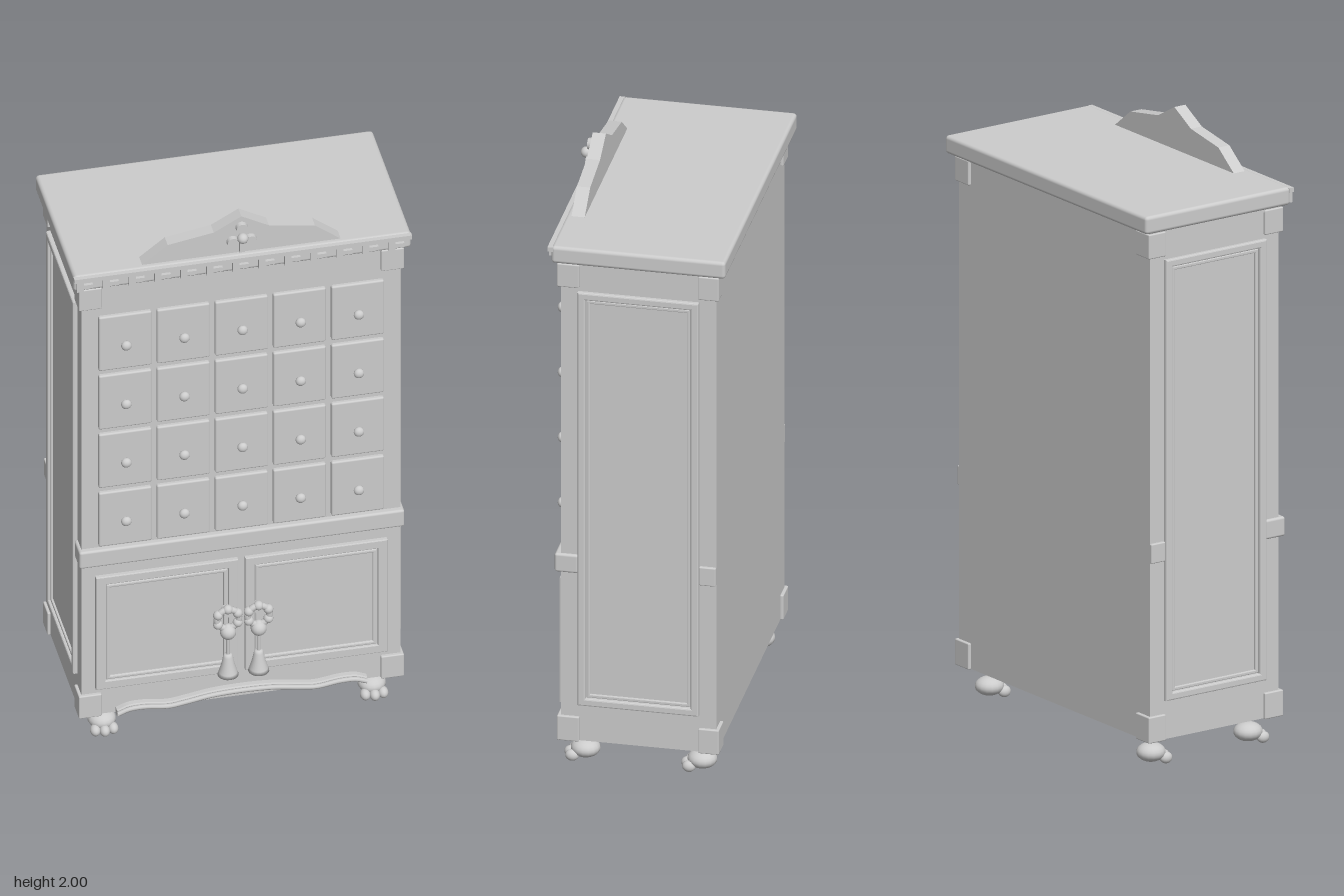
import * as THREE from 'three';
import { RoundedBoxGeometry } from 'three/addons/geometries/RoundedBoxGeometry.js';

export function createModel() {
  const root = new THREE.Group();
  root.name = 'apothecaryCabinet';
  const grey = new THREE.MeshStandardMaterial({ color: 0xcccccc });
  grey.name = 'plain grey';

  const add = (name, geo, x = 0, y = 0, z = 0, parent = root) => {
    const m = new THREE.Mesh(geo, grey);
    m.name = name;
    m.position.set(x, y, z);
    parent.add(m);
    return m;
  };
  // Box given by its limits on each axis, with rounded edges when r > 0
  const block = (name, x0, x1, y0, y1, z0, z1, r = 0, parent = root) => {
    const s = [x1 - x0, y1 - y0, z1 - z0];
    const geo = r ? new RoundedBoxGeometry(...s, 2, r) : new THREE.BoxGeometry(...s);
    return add(name, geo, (x0 + x1) / 2, (y0 + y1) / 2, (z0 + z1) / 2, parent);
  };
  const ball = (name, r, x, y, z, parent = root) =>
    add(name, new THREE.SphereGeometry(r, 16, 12), x, y, z, parent);
  // Rectangular frame centred on the origin, facing +z
  const frameGeo = (w, h, border, depth, bevel) => {
    const rect = (P, a, b) => {
      const p = new P();
      p.moveTo(-a, -b); p.lineTo(a, -b); p.lineTo(a, b); p.lineTo(-a, b); p.closePath();
      return p;
    };
    const s = rect(THREE.Shape, w / 2 - bevel, h / 2 - bevel);
    s.holes.push(rect(THREE.Path, w / 2 - border + bevel, h / 2 - border + bevel));
    return new THREE.ExtrudeGeometry(s, {
      depth: depth - bevel, bevelEnabled: bevel > 0, bevelSize: bevel, bevelThickness: bevel, bevelSegments: 2,
    });
  };

  // Carcass, cornice and waist rail
  block('carcass', -0.52, 0.52, 0.1, 1.795, -0.27, 0.235);
  block('cornice', -0.55, 0.55, 1.8, 1.86, -0.305, 0.262, 0.012);
  block('corniceNeck', -0.525, 0.525, 1.785, 1.805, -0.272, 0.24);
  block('waistRail', -0.53, 0.53, 0.695, 0.76, 0.178, 0.255, 0.008);

  for (const s of [-1, 1]) {
    const span = (name, a, b, ...rest) => block(name, Math.min(s * a, s * b), Math.max(s * a, s * b), ...rest);
    // Corner blocks and rear ends of the waist rail
    for (const [z0, z1] of [[0.175, 0.247], [-0.28, -0.213]]) {
      span('lowerCornerBlock', 0.455, 0.53, 0.098, 0.185, z0, z1, 0.004);
      span('upperCornerBlock', 0.455, 0.53, 1.71, 1.792, z0, z1, 0.004);
    }
    span('rearWaistBlock', 0.49, 0.53, 0.695, 0.76, -0.27, -0.215, 0.004);
    // Framed side panel
    const side = new THREE.Group();
    side.name = s > 0 ? 'leftSidePanel' : 'rightSidePanel';
    side.position.set(s * 0.519, 0.963, -0.018);
    side.rotation.y = s * Math.PI / 2;
    root.add(side);
    add('sideFrame', frameGeo(0.394, 1.468, 0.026, 0.016, 0.005), 0, 0, 0, side);
    add('sideBead', frameGeo(0.338, 1.412, 0.012, 0.008, 0.003), 0, 0, 0, side);
  }

  // Twenty small drawers with knobs
  for (let row = 0; row < 4; row++) {
    for (let col = 0; col < 5; col++) {
      const x = (col - 2) * 0.1895, y = 1.569 - row * 0.2315;
      add('drawerFront', new RoundedBoxGeometry(0.172, 0.212, 0.03, 2, 0.006), x, y, 0.233);
      const stem = add('knobStem', new THREE.CylinderGeometry(0.007, 0.01, 0.02, 12), x, y - 0.006, 0.254);
      stem.rotation.x = Math.PI / 2;
      ball('drawerKnob', 0.017, x, y - 0.006, 0.262).scale.z = 0.8;
    }
  }

  // Cupboard doors with ring-and-tassel pulls
  for (const s of [-1, 1]) {
    const door = new THREE.Group();
    door.name = s > 0 ? 'leftDoor' : 'rightDoor';
    door.position.set(s * 0.2435, 0.427, 0.234);
    root.add(door);
    add('doorFrame', frameGeo(0.463, 0.443, 0.031, 0.016, 0.003), 0, 0, 0, door);
    add('doorBead', frameGeo(0.395, 0.375, 0.013, 0.013, 0.004), 0, 0, 0, door);
    block('doorPanel', -0.21, 0.21, -0.2, 0.2, 0, 0.006, 0, door);

    const pull = new THREE.Group();
    pull.name = 'tasselPull';
    pull.position.set(s * 0.05, 0.435, 0.27);
    root.add(pull);
    add('pullRing', new THREE.TorusGeometry(0.036, 0.011, 10, 28), 0, 0, 0, pull);
    for (let i = 0; i < 6; i++) {
      const a = (i + 0.5) * Math.PI / 3;
      ball('ringBead', 0.016, 0.037 * Math.cos(a), 0.037 * Math.sin(a), 0, pull);
    }
    const boss = add('pullBoss', new THREE.CylinderGeometry(0.014, 0.018, 0.03, 12), 0, 0.022, -0.01, pull);
    boss.rotation.x = Math.PI / 2;
    ball('tasselBead', 0.026, 0, -0.05, 0.002, pull);
    add('tasselCord', new THREE.CylinderGeometry(0.006, 0.006, 0.1, 10), 0, -0.11, 0.002, pull);
    const profile = [[0, 0.045], [0.012, 0.043], [0.016, 0.033], [0.02, 0.01], [0.03, -0.025], [0.034, -0.037], [0, -0.041]];
    const pts = profile.map(([x, y]) => new THREE.Vector2(x, y)).reverse();
    add('tassel', new THREE.LatheGeometry(pts, 20), 0, -0.18, 0.002, pull);
  }

  // Scalloped apron moulding along the bottom
  const half = [[0, 0.136], [0.1, 0.132], [0.19, 0.118], [0.24, 0.112], [0.32, 0.122], [0.37, 0.12], [0.405, 0.107]];
  const path = [...half.slice(1).reverse().map(([x, y]) => [-x, y]), ...half];
  const line = new THREE.CatmullRomCurve3(path.map(([x, y]) => new THREE.Vector3(x, y, 0))).getPoints(60);
  const strip = (h) => new THREE.ExtrudeGeometry(new THREE.Shape([
    ...line.map((p) => new THREE.Vector2(p.x, p.y - h)),
    ...line.slice().reverse().map((p) => new THREE.Vector2(p.x, p.y + h)),
  ]), { depth: 0.018, bevelEnabled: true, bevelSize: 0.003, bevelThickness: 0.004, bevelSegments: 2 });
  add('apronBand', strip(0.01), 0, 0, 0.234);
  const roll = new THREE.CatmullRomCurve3(path.map(([x, y]) => new THREE.Vector3(x, y + 0.002, 0.261)));
  add('apronRoll', new THREE.TubeGeometry(roll, 60, 0.008, 8));

  // Key-pattern fretwork on the front of the cornice
  block('fretRail', -0.55, 0.55, 1.842, 1.857, 0.255, 0.273);
  const pitch = 0.0846;
  for (let i = 0; i < 13; i++) {
    const x = -0.55 + i * pitch;
    block('fretDrop', x + 0.008, x + 0.03, 1.806, 1.844, 0.255, 0.273);
    block('fretHook', x + 0.03, x + 0.06, 1.816, 1.831, 0.255, 0.273);
  }

  // Pointed crest with a trefoil ornament
  const crestHalf = [[0.33, 1.855], [0.24, 1.925], [0.09, 1.95]];
  const crest = new THREE.Shape([
    ...crestHalf, [0, 2], ...crestHalf.map(([x, y]) => [-x, y]).reverse(),
  ].map(([x, y]) => new THREE.Vector2(x, y)));
  add('crest', new THREE.ExtrudeGeometry(crest, { depth: 0.043, bevelEnabled: false }), 0, 0, 0.2);
  for (let i = 0; i < 3; i++) {
    const a = Math.PI / 2 + i * Math.PI * 2 / 3;
    const leaf = add('trefoilLeaf', new THREE.CylinderGeometry(0.018, 0.02, 0.016, 14),
      0.034 * Math.cos(a), 1.925 + 0.034 * Math.sin(a), 0.25);
    leaf.rotation.x = Math.PI / 2;
  }
  block('trefoilStem', -0.008, 0.008, 1.868, 1.925, 0.24, 0.257);
  ball('trefoilKnob', 0.018, 0, 1.928, 0.264);

  // Paw feet with toes pointing forward
  for (const x of [-0.44, 0.44]) {
    for (const z of [0.172, -0.208]) {
      const foot = new THREE.Group();
      foot.name = 'pawFoot';
      foot.position.set(x, 0, z);
      root.add(foot);
      ball('paw', 1, 0, 0.038, 0, foot).scale.set(0.046, 0.031, 0.048);
      for (const t of [-1, 0, 1]) {
        ball('toe', 1, t * 0.029, 0.019, 0.047 - 0.009 * Math.abs(t), foot).scale.set(0.017, 0.019, 0.022);
      }
    }
  }
  return root;
}
